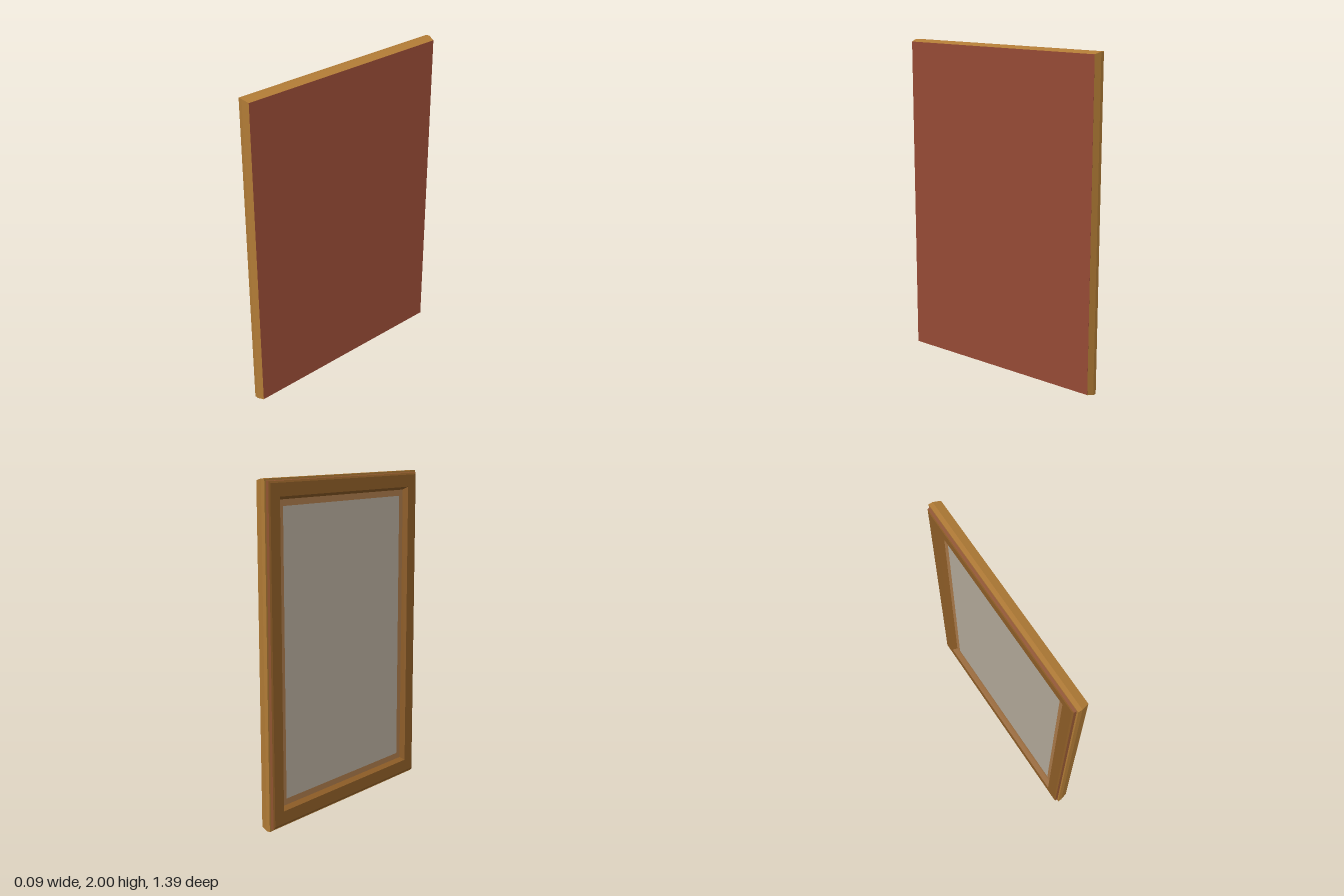
import * as THREE from 'three';

const HALF_Z = 0.695, HEIGHT = 2;

const material = (name, color) => {
  const m = new THREE.MeshStandardMaterial({ color });
  m.name = name;
  return m;
};

// Rectangle corners at an inset from the outline, at depth x
const corners = ([inset, x]) => {
  const z = HALF_Z - inset, low = inset, high = HEIGHT - inset;
  return [[x, low, z], [x, high, z], [x, high, -z], [x, low, -z]];
};

// Mitred four-sided moulding swept from a profile of [inset, x], back to face
function moulding(name, profile, mat) {
  const positions = [];
  for (let i = 0; i < profile.length - 1; i++) {
    const a = corners(profile[i]), b = corners(profile[i + 1]);
    for (let k = 0; k < 4; k++) {
      const n = (k + 1) % 4;
      positions.push(...a[k], ...a[n], ...b[n], ...a[k], ...b[n], ...b[k]);
    }
  }
  const geometry = new THREE.BufferGeometry();
  geometry.setAttribute('position', new THREE.Float32BufferAttribute(positions, 3));
  geometry.computeVertexNormals();
  const mesh = new THREE.Mesh(geometry, mat);
  mesh.name = name;
  return mesh;
}

// Flat upright sheet
function sheet(name, inset, x, thickness, mat) {
  const mesh = new THREE.Mesh(
    new THREE.BoxGeometry(thickness, HEIGHT - 2 * inset, 2 * (HALF_Z - inset)), mat);
  mesh.position.set(x, HEIGHT / 2, 0);
  mesh.name = name;
  return mesh;
}

export function createModel() {
  const gold = material('antique gold', 0xb27c36);
  const bronze = material('bronze wood', 0x8f5e27);
  const copper = material('copper wood', 0x8f5330);
  const tan = material('tan liner', 0xab7a4a);
  const red = material('red brown backing', 0x964a35);
  const silver = material('mirror silver', 0xb5ab9b);

  const model = new THREE.Group();
  model.name = 'framedMirror';
  model.add(
    // Outer edge, tapering towards the back
    moulding('outerEdge', [[0.012, 0.045], [0, 0], [0, -0.025], [0.012, -0.025]], gold),
    // Narrow step between edge and face
    moulding('frameStep', [[0.012, -0.025], [0.014, -0.041]], copper),
    // Face and slope down to the glass
    moulding('frameFace', [[0.014, -0.041], [0.025, -0.045], [0.1, -0.045], [0.118, -0.016]], bronze),
    // Border round the glass
    moulding('liner', [[0.118, -0.016], [0.155, -0.016]], tan),
    sheet('mirrorGlass', 0.15, -0.0135, 0.004, silver),
    sheet('backPanel', 0.0125, 0.0425, 0.005, red),
  );
  return model;
}
